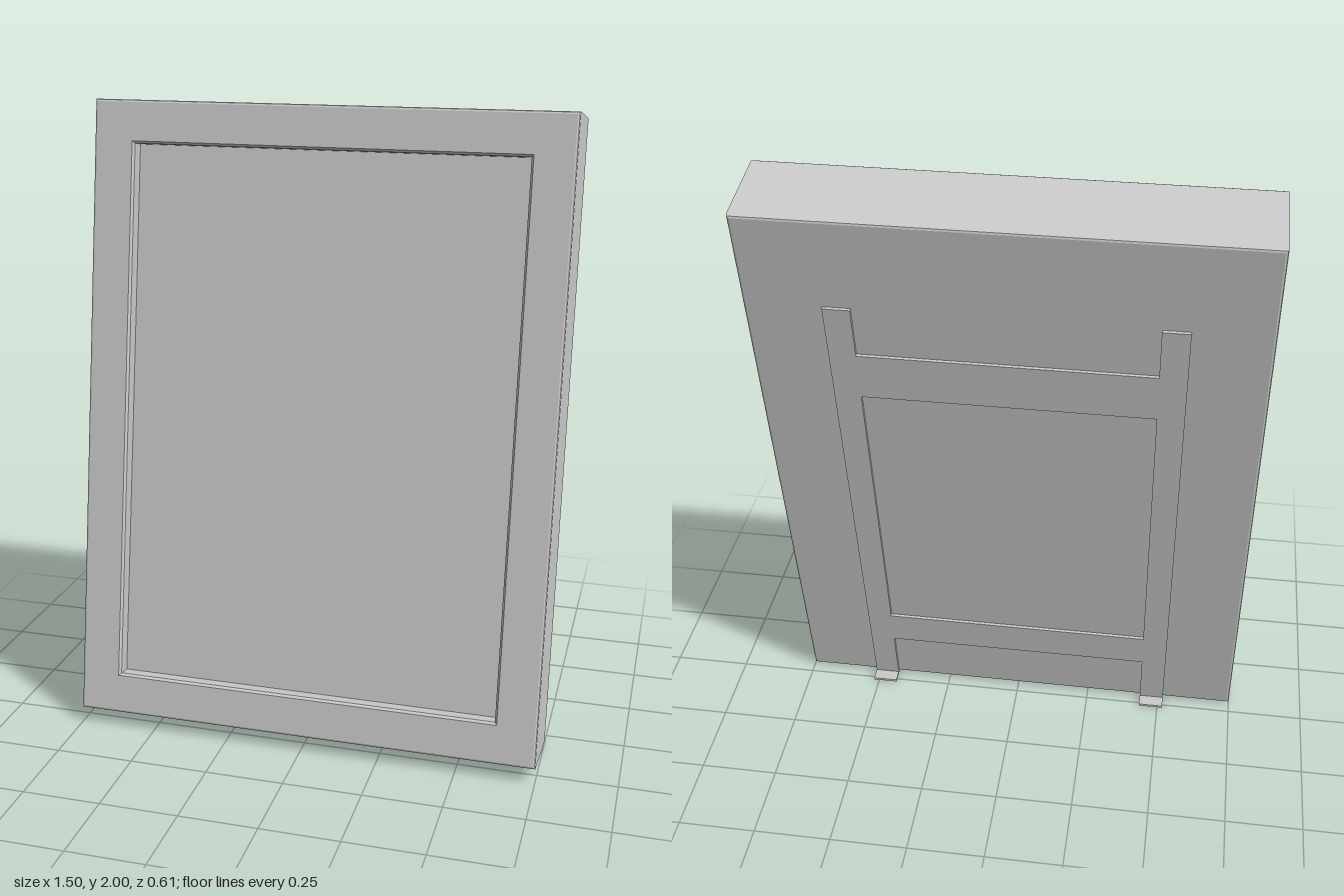
import * as THREE from 'three';

const TILT = THREE.MathUtils.degToRad(10);
const HALF_W = 0.75, HEIGHT = 1.978, DEPTH = 0.272, BEVEL = 0.008;

// Rectangular loop, inset from the outer edge, counter-clockwise from the front
function loop(inset, z) {
  const x = HALF_W - inset, y0 = inset, y1 = HEIGHT - inset;
  return [[-x, y0, z], [x, y0, z], [x, y1, z], [-x, y1, z]];
}

// Skin a series of [inset, z] loops from back to front and cap both ends
function loopSkin(profile) {
  const loops = profile.map(([inset, z]) => loop(inset, z));
  const pos = [];
  const quad = (a, b, c, d) => pos.push(...a, ...b, ...c, ...a, ...c, ...d);
  for (let k = 0; k < loops.length - 1; k++) {
    for (let i = 0; i < 4; i++) {
      const j = (i + 1) % 4;
      quad(loops[k][i], loops[k][j], loops[k + 1][j], loops[k + 1][i]);
    }
  }
  quad(...[...loops[0]].reverse());
  quad(...loops[loops.length - 1]);
  const geo = new THREE.BufferGeometry();
  geo.setAttribute('position', new THREE.Float32BufferAttribute(pos, 3));
  geo.computeVertexNormals();
  return geo;
}

export function createModel() {
  const model = new THREE.Group();
  model.name = 'leaningFrame';
  const material = new THREE.MeshStandardMaterial({ color: 0xcccccc });
  const add = (parent, name, geometry) => {
    const mesh = new THREE.Mesh(geometry, material);
    mesh.name = name;
    parent.add(mesh);
    return mesh;
  };

  // Everything but the feet leans back about the lower rear edge
  const leaning = new THREE.Group();
  leaning.name = 'leaningBody';
  leaning.position.set(0, 0.005, 0.04);
  leaning.rotation.x = -TILT;
  model.add(leaning);

  // Deep bevelled box with a recessed front panel
  const soft = BEVEL * 0.3;
  add(leaning, 'frameBody', loopSkin([
    [BEVEL, 0], [soft, soft], [0, BEVEL],
    [0, DEPTH - BEVEL], [soft, DEPTH - soft], [BEVEL, DEPTH],
    [0.126, DEPTH], [0.133, DEPTH - BEVEL], [0.133, DEPTH - 0.052],
  ]));

  // Thin rear bracket: two uprights joined by an upper and a lower bar
  const out = 0.518, inn = 0.437;
  const half = [[inn, 0.2], [inn, 0], [out, 0], [out, 1.685], [inn, 1.685], [inn, 1.517]];
  const outline = [...half, ...half.map(([x, y]) => [-x, y]).reverse()];
  const shape = new THREE.Shape(outline.map(([x, y]) => new THREE.Vector2(x, y)));
  shape.holes.push(new THREE.Path(
    [[-inn, 0.326], [-inn, 1.358], [inn, 1.358], [inn, 0.326]].map(([x, y]) => new THREE.Vector2(x, y))));
  const bracket = add(leaning, 'rearBracket',
    new THREE.ExtrudeGeometry(shape, { depth: 0.01, bevelEnabled: false }));
  bracket.position.z = -0.01;

  // Flat feet under the uprights
  for (const [name, side] of [['leftFoot', 1], ['rightFoot', -1]]) {
    const foot = add(model, name, new THREE.BoxGeometry(out - inn, 0.008, 0.052));
    foot.position.set(side * (out + inn) / 2, 0.004, 0.012);
  }

  return model;
}
